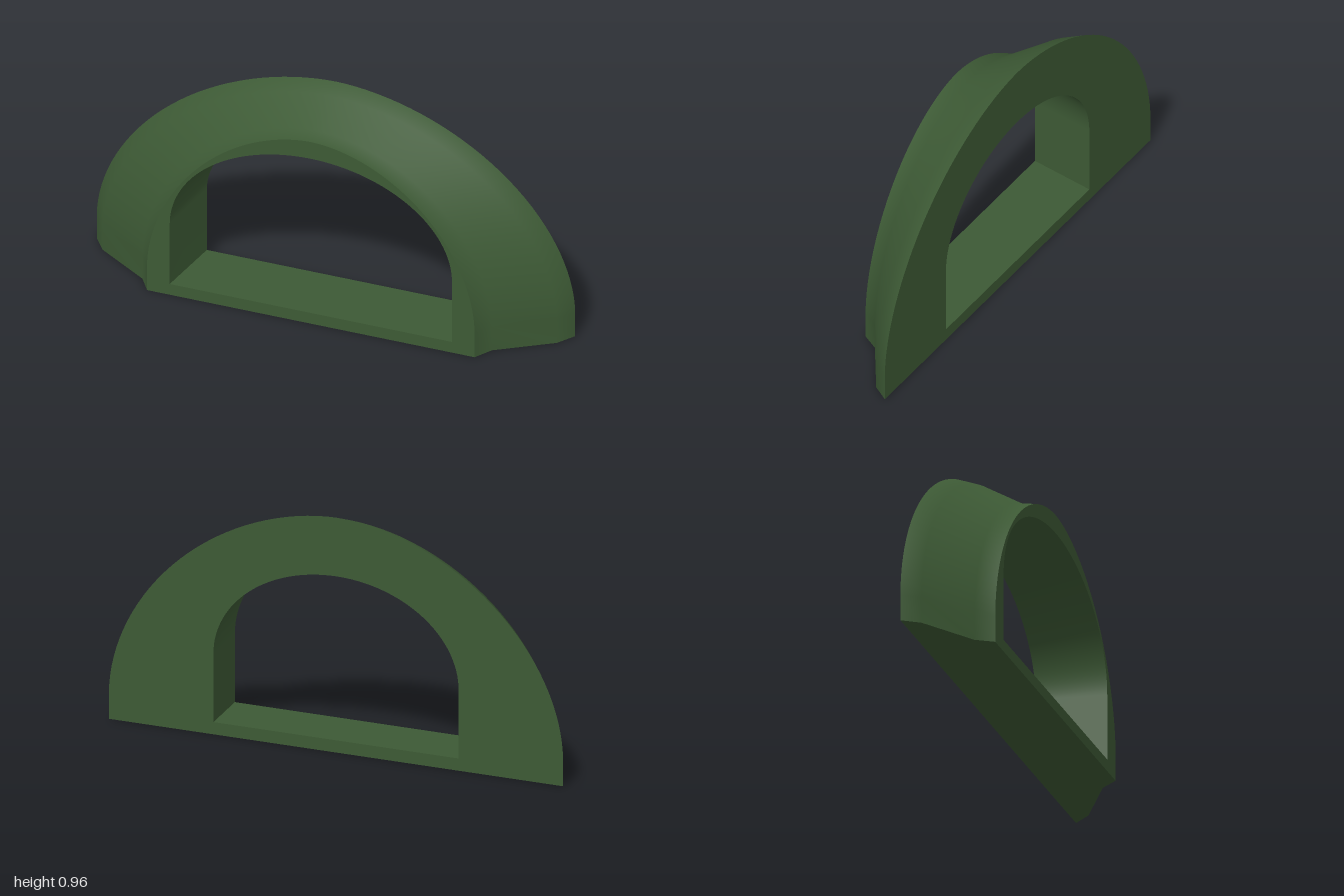
import * as THREE from 'three';

// Half-round curve on two straight legs, running from the right foot over the top to the left foot
function archPoints(halfWidth, foot, spring, top, power, steps = 64) {
  const points = [new THREE.Vector2(halfWidth, foot)];
  for (let i = 0; i <= steps; i++) {
    const a = (Math.PI * i) / steps;
    const c = Math.cos(a);
    const s = Math.max(0, Math.sin(a));
    points.push(new THREE.Vector2(
      halfWidth * Math.sign(c) * Math.abs(c) ** (2 / power),
      spring + (top - spring) * s ** (2 / power)
    ));
  }
  points.push(new THREE.Vector2(-halfWidth, foot));
  return points;
}

// Skin through matching cross-sections ordered from back to front
function loft(sections, inward = false) {
  const n = sections[0].points.length;
  const positions = [];
  const index = [];
  for (const { z, points } of sections) {
    for (const p of points) positions.push(p.x, p.y, z);
  }
  for (let j = 0; j < sections.length - 1; j++) {
    for (let i = 0; i < n - 1; i++) {
      const a = j * n + i, b = a + 1, c = b + n, d = a + n;
      if (inward) index.push(a, c, b, a, d, c);
      else index.push(a, b, c, a, c, d);
    }
  }
  const geometry = new THREE.BufferGeometry();
  geometry.setAttribute('position', new THREE.Float32BufferAttribute(positions, 3));
  geometry.setIndex(index);
  geometry.computeVertexNormals();
  return geometry;
}

// Keeps only the two feet of each section, giving the flat strip between them
const feet = (sections) => sections.map(({ z, points }) => ({
  z, points: [points[points.length - 1], points[0]],
}));

export function createModel() {
  const group = new THREE.Group();
  group.name = 'arch';
  const green = new THREE.MeshStandardMaterial({ color: 0x3d5a35 });
  green.name = 'dark green';

  const add = (name, geometry) => {
    const mesh = new THREE.Mesh(geometry, green);
    mesh.name = name;
    group.add(mesh);
    return mesh;
  };

  // Outer sections: z, half width, top height
  const outer = [
    [-0.14, 1, 0.96],
    [-0.07, 0.95, 0.935],
    [0.07, 0.73, 0.858],
    [0.14, 0.685, 0.848],
  ].map(([z, w, top]) => ({ z, points: archPoints(w, 0, 0.11, top, 1.86) }));

  // Opening sections, widening towards the front
  const opening = [
    [-0.14, 0.54, 0.72],
    [0.14, 0.59, 0.77],
  ].map(([z, w, top]) => ({ z, points: archPoints(w, 0.05, 0.33, top, 2) }));

  add('outerShell', loft(outer));
  add('base', loft(feet(outer)));
  add('openingWall', loft(opening, true));
  add('openingSill', loft(feet(opening), true));

  // Flat front and back faces with the opening cut out
  const face = (outline, hole) => {
    const shape = new THREE.Shape(outline.points);
    shape.holes.push(new THREE.Path(hole.points));
    return new THREE.ShapeGeometry(shape);
  };
  add('frontFace', face(outer[3], opening[1])).position.z = 0.14;
  add('backFace', face(outer[0], opening[0]).rotateY(Math.PI)).position.z = -0.14;

  return group;
}
